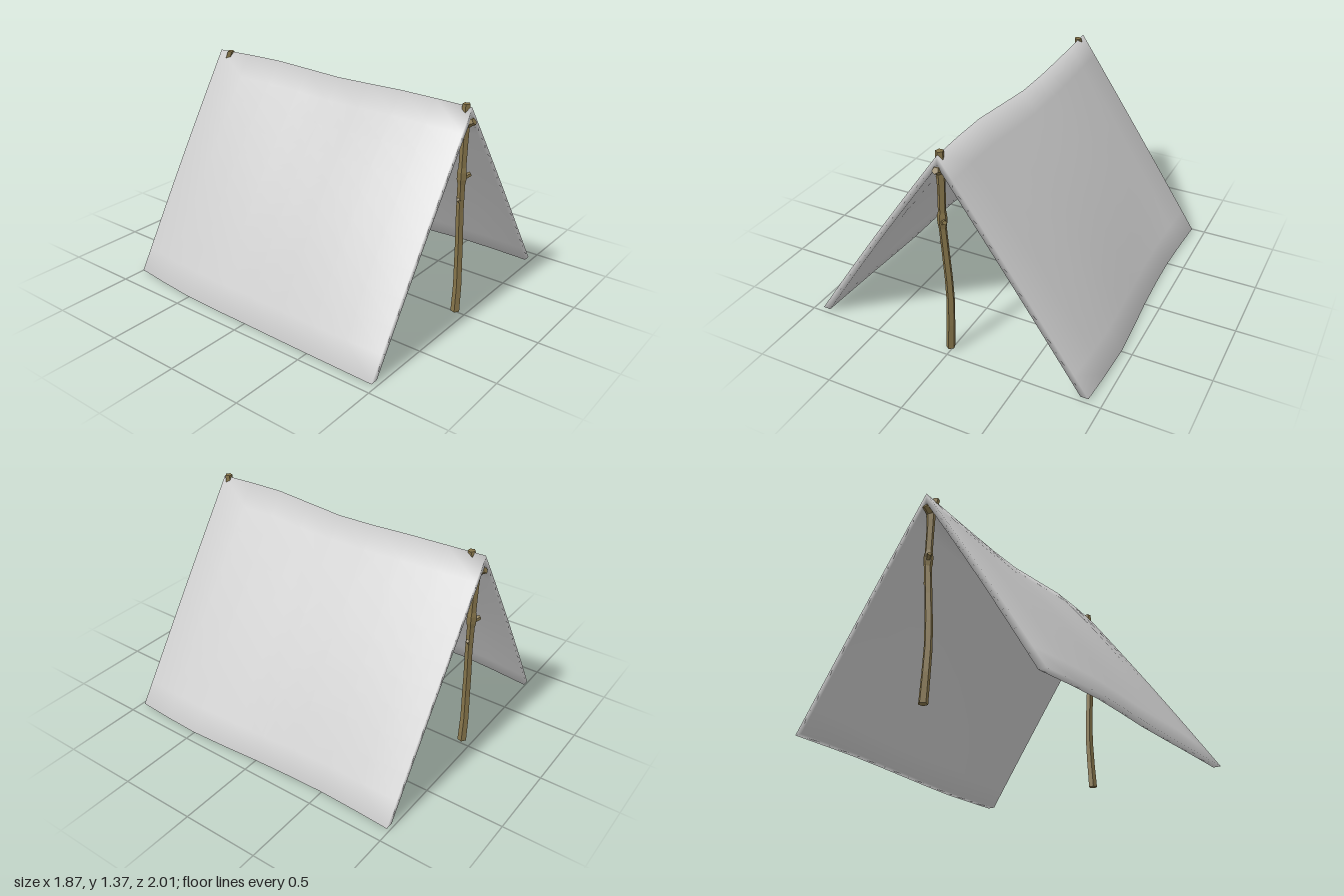
import * as THREE from 'three';
import { mergeVertices } from 'three/addons/utils/BufferGeometryUtils.js';

const wood = new THREE.MeshStandardMaterial({ color: 0x85744a, flatShading: true });
const fabric = new THREE.MeshStandardMaterial({ color: 0xcccccc });

const curve = (pts) => new THREE.CatmullRomCurve3(pts.map((p) => new THREE.Vector3(...p)));

// Five-sided stick whose rings follow [x, y, z, radius] points
function stick(name, points) {
  const rows = points.length - 1;
  const geo = new THREE.CylinderGeometry(1, 1, 1, 5, rows);
  const dir = new THREE.Vector3(...points[rows].slice(0, 3)).sub(new THREE.Vector3(...points[0].slice(0, 3))).normalize();
  const turn = new THREE.Quaternion().setFromUnitVectors(new THREE.Vector3(0, 1, 0), dir);
  const pos = geo.attributes.position, v = new THREE.Vector3();
  for (let i = 0; i < pos.count; i++) {
    const [x, y, z, r] = points[Math.round((pos.getY(i) + 0.5) * rows)];
    v.set(pos.getX(i) * r, 0, pos.getZ(i) * r).applyQuaternion(turn);
    pos.setXYZ(i, v.x + x, v.y + y, v.z + z);
  }
  geo.computeVertexNormals();
  const mesh = new THREE.Mesh(geo, wood);
  mesh.name = name;
  return mesh;
}

// Crooked pole with a forked top and a cut twig
function pole(name, tipZ) {
  const group = new THREE.Group();
  group.name = name;
  group.add(
    stick('poleShaft', [
      [0.008, 0.02, 0.94, 0.029], [0.018, 0.2, 0.94, 0.027], [0.021, 0.36, 0.935, 0.026],
      [0.016, 0.52, 0.935, 0.025], [0.004, 0.7, 0.935, 0.024], [-0.005, 0.88, 0.94, 0.024],
      [-0.005, 0.91, 0.94, 0.03], [-0.005, 0.955, 0.94, 0.03], [-0.004, 0.985, 0.94, 0.024],
      [0, 1.15, 0.94, 0.025], [0, 1.26, 0.94, 0.029], [0, 1.37, tipZ, 0.024],
    ]),
    stick('forkStub', [[0, 1.23, 0.93, 0.022], [0, 1.265, 0.97, 0.025], [0, 1.275, 0.995, 0.021]]),
    stick('twig', [[0, 0.92, 0.945, 0.018], [0.022, 0.935, 0.966, 0.016], [0.032, 0.94, 0.975, 0.014]]),
    stick('knot', [[-0.01, 0.77, 0.935, 0.017], [-0.026, 0.785, 0.935, 0.011]]),
  );
  return group;
}

// Draped sheet: a thin box bent over the ridge, with wavy hems
function sheet() {
  const ridge = curve([[-0.015, 1.365, -0.99], [0.015, 1.365, -0.5], [0.012, 1.345, 0], [-0.02, 1.365, 0.5], [-0.015, 1.355, 0.975]]);
  const hems = {
    '-1': curve([[-0.85, 0.01, -0.995], [-0.905, 0.01, -0.5], [-0.912, 0.005, 0], [-0.928, 0.01, 0.5], [-0.94, 0.015, 0.975]]),
    '1': curve([[0.91, 0.015, -0.985], [0.887, 0.01, -0.5], [0.9, 0.005, 0], [0.933, 0.01, 0.5], [0.915, 0.015, 0.975]]),
  };
  let geo = new THREE.BoxGeometry(2, 1, 2, 20, 1, 8);
  geo.deleteAttribute('normal');
  geo.deleteAttribute('uv');
  geo = mergeVertices(geo);
  const pos = geo.attributes.position;
  for (let i = 0; i < pos.count; i++) {
    const u = pos.getX(i), t = Math.abs(u), side = u < 0 ? -1 : 1;
    const w = (pos.getZ(i) + 1) / 2, inner = pos.getY(i) < 0 ? 1 : 0;
    const p = ridge.getPoint(w).lerp(hems[side].getPoint(w), t);
    // Outward billow, strongest mid-panel
    const billow = (side < 0 ? 0.045 : 0.022) * Math.sin(Math.PI * t) * (0.2 + 0.8 * Math.sin(Math.PI * w));
    p.x += side * (billow * 0.82 - inner * 0.05 * t);
    p.y += billow * 0.57 - inner * 0.065 * (1 - t);
    pos.setXYZ(i, p.x, p.y, p.z);
  }
  geo.computeVertexNormals();
  const mesh = new THREE.Mesh(geo, fabric);
  mesh.name = 'tentSheet';
  return mesh;
}

export function createModel() {
  const model = new THREE.Group();
  model.name = 'tent';
  const front = pole('frontPole', 0.94);
  const back = pole('backPole', 0.9);
  back.rotation.y = Math.PI;
  front.position.x = back.position.x = -0.016;
  model.add(sheet(), front, back);
  return model;
}
